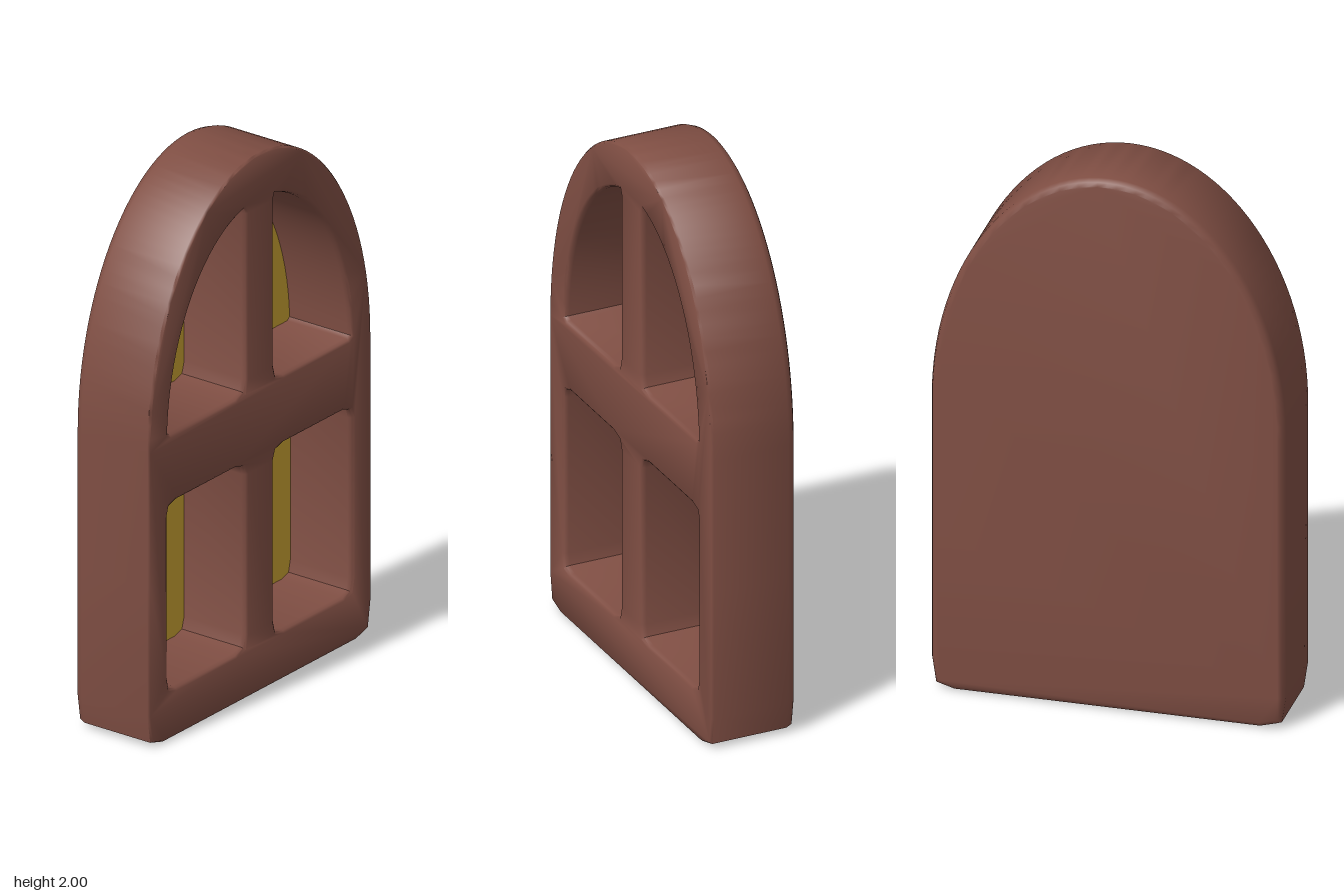
import * as THREE from 'three';
import { mergeGeometries, mergeVertices, toCreasedNormals } from 'three/addons/utils/BufferGeometryUtils.js';

const FRONT = 0.16, BACK = -0.16, GLASS = -0.105, ROUND = 0.012;
const V = (x, y) => new THREE.Vector2(x, y);

// Quarter arch (ellipse) from angle a to angle b
function arch(rx, ry, cy, a, b, n) {
  return Array.from({ length: n + 1 }, (_, i) => {
    const t = a + (b - a) * i / n;
    return V(rx * Math.cos(t), cy + ry * Math.sin(t));
  });
}

const mirror = pts => pts.map(p => V(-p.x, p.y)).reverse();

// Shift a closed outline to the left of its travel (into the material)
function inset(pts, d) {
  const n = pts.length;
  return pts.map((p, i) => {
    const a = p.clone().sub(pts[(i + n - 1) % n]).normalize();
    const b = pts[(i + 1) % n].clone().sub(p).normalize();
    const k = d / Math.max(0.4, 1 + a.dot(b));
    return V(p.x - (a.y + b.y) * k, p.y + (a.x + b.x) * k);
  });
}

// Skin through copies of an outline, one per [depth, inset] step
function loft(pts, steps) {
  const pos = [], idx = [], n = pts.length;
  steps.forEach(([z, d]) => inset(pts, d).forEach(p => pos.push(p.x, p.y, z)));
  for (let s = 0; s < steps.length - 1; s++) {
    for (let i = 0; i < n; i++) {
      const j = (i + 1) % n, a = s * n + i, b = s * n + j;
      idx.push(a, b, b + n, a, b + n, a + n);
    }
  }
  const g = new THREE.BufferGeometry();
  g.setAttribute('position', new THREE.Float32BufferAttribute(pos, 3));
  g.setIndex(idx);
  return g;
}

// Flat face of an outline, with optional holes
function cap(pts, z, holes = []) {
  const shape = new THREE.Shape(pts);
  shape.holes = holes.map(h => new THREE.Path(h));
  return new THREE.ShapeGeometry(shape).translate(0, 0, z);
}

export function createModel() {
  const group = new THREE.Group();
  const wood = new THREE.MeshStandardMaterial({ color: 0x7f4e43 });
  const gold = new THREE.MeshStandardMaterial({ color: 0xc9a132 });

  // Outer outline, counter-clockwise
  const half = [V(0.54, 0), V(0.61, 0.02), V(0.625, 0.12), V(0.625, 0.6),
    ...arch(0.625, 0.9, 1.1, 0, Math.PI / 2, 28)];
  const outline = [...half, ...mirror(half.slice(0, -1))];

  // Pane outlines on one side, counter-clockwise
  const lower = [
    V(0.08, 0.83), V(0.08, 0.235), V(0.092, 0.192), V(0.135, 0.18),
    V(0.47, 0.18), V(0.508, 0.192), V(0.518, 0.235),
    V(0.518, 0.83), V(0.508, 0.863), V(0.47, 0.875), V(0.135, 0.875), V(0.092, 0.863)];
  const upper = [
    V(0.08, 1.8), V(0.08, 1.185), V(0.092, 1.142), V(0.135, 1.13), V(0.5, 1.13),
    ...arch(0.515, 0.73, 1.1, 0.055, 1.4, 20)];
  const panes = { lowerRightPane: lower, upperRightPane: upper,
    lowerLeftPane: mirror(lower), upperLeftPane: mirror(upper) };
  // Holes run clockwise so that their walls face inward
  const holes = Object.values(panes).map(p => [...p].reverse());

  // Frame: rounded outer skin, front and back faces, recess walls
  const parts = [
    loft(outline, [[BACK, 0.022], [BACK + 0.008, 0.008], [BACK + 0.03, 0], [FRONT - 0.008, 0], [FRONT, 0.006]]),
    cap(inset(outline, 0.006), FRONT, holes.map(h => inset(h, ROUND))),
    cap(inset(outline, 0.022), -BACK).rotateY(Math.PI),
    ...holes.map(h => loft(h, [[GLASS, 0], [FRONT - 0.02, 0], [FRONT - 0.006, 0.004], [FRONT, ROUND]])),
  ];
  parts.forEach(g => { g.deleteAttribute('uv'); g.deleteAttribute('normal'); });
  const frameGeometry = toCreasedNormals(mergeVertices(mergeGeometries(parts), 1e-4), 0.95);
  const frame = new THREE.Mesh(frameGeometry, wood);
  frame.name = 'windowFrame';
  group.add(frame);

  // Recessed panes
  for (const [name, pts] of Object.entries(panes)) {
    const pane = new THREE.Mesh(cap(pts, GLASS), gold);
    pane.name = name;
    group.add(pane);
  }

  // Turn the paned side to face +x
  group.children.forEach(m => m.geometry.rotateY(Math.PI / 2));
  group.name = 'archedWindow';
  return group;
}
